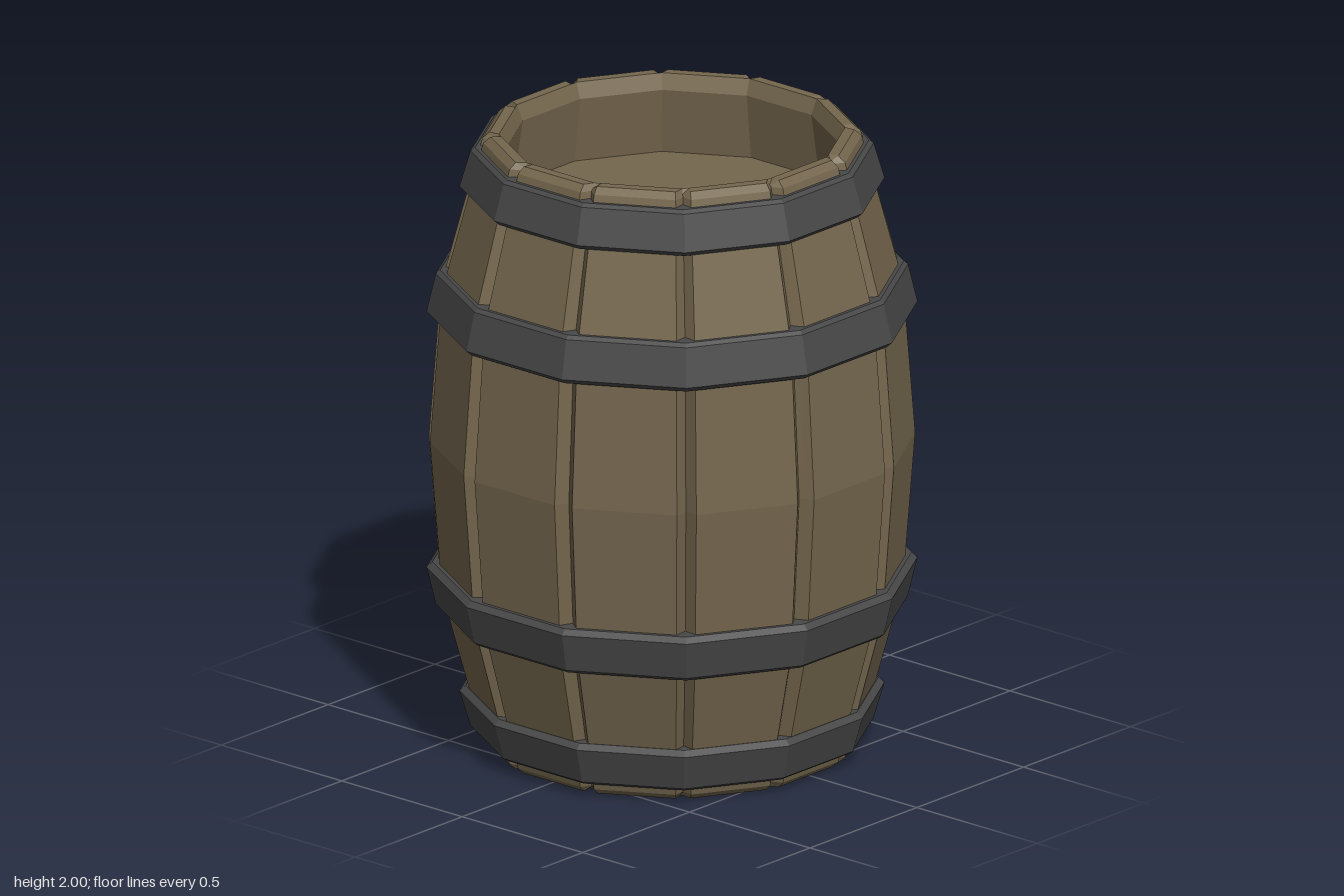
import * as THREE from 'three';

const SIDES = 12;
const STEP = (Math.PI * 2) / SIDES;
const CORNER = Math.cos(STEP / 2); // flat distance / corner distance

const wood = new THREE.MeshStandardMaterial({ color: 0x75674e });
wood.name = 'wood';
const iron = new THREE.MeshStandardMaterial({ color: 0x484848 });
iron.name = 'iron';

// Mesh with hard facets
function faceted(name, geometry, material) {
  const geo = geometry.index ? geometry.toNonIndexed() : geometry;
  geo.computeVertexNormals();
  const mesh = new THREE.Mesh(geo, material);
  mesh.name = name;
  return mesh;
}

// Wall of staves: each ring is [flat distance, height, groove inwards, groove along y]
function stavesGeometry() {
  const upper = [
    [0.737, 1.0, 0.045, 0],
    [0.7, 1.5, 0.042, 0],
    [0.575, 1.98, 0.036, 0],
    [0.553, 2.0, 0.022, 0.014],
    [0.52, 2.0, 0, 0],
    [0.501, 1.95, 0, 0],
    [0.53, 1.735, 0, 0],
  ];
  const lower = upper.slice(1).reverse().map(([r, y, g, d]) => [r, 2 - y, g, -d]);
  const rings = [...lower, ...upper];
  const positions = [];
  const indices = [];
  const perRing = SIDES * 3;
  for (const [r, y, groove, dip] of rings) {
    const half = r * Math.tan(STEP / 2) * 0.84;
    for (let s = 0; s < SIDES; s++) {
      const a = s * STEP;
      const sin = Math.sin(a), cos = Math.cos(a);
      // two edges of the flat stave face
      for (const t of [-half, half]) {
        positions.push(r * sin + t * cos, y, r * cos - t * sin);
      }
      // valley between this stave and the next
      const v = (r - groove) / CORNER;
      positions.push(v * Math.sin(a + STEP / 2), y - dip, v * Math.cos(a + STEP / 2));
    }
  }
  for (let i = 0; i < rings.length - 1; i++) {
    for (let j = 0; j < perRing; j++) {
      const k = (j + 1) % perRing;
      const a = i * perRing + j, b = i * perRing + k;
      const c = b + perRing, d = a + perRing;
      indices.push(a, b, c, a, c, d);
    }
  }
  const geo = new THREE.BufferGeometry();
  geo.setAttribute('position', new THREE.Float32BufferAttribute(positions, 3));
  geo.setIndex(indices);
  return geo;
}

// Twelve-sided hoop from a profile of [flat distance, height]
function hoop(name, profile) {
  const points = profile.map(([r, y]) => new THREE.Vector2(r / CORNER, y));
  return faceted(name, new THREE.LatheGeometry(points, SIDES, STEP / 2), iron);
}

// Recessed round end board
function endBoard(name, y, facing) {
  const geo = new THREE.CircleGeometry(0.532 / CORNER, SIDES, STEP / 2);
  geo.rotateX((-facing * Math.PI) / 2);
  geo.translate(0, y, 0);
  return faceted(name, geo, wood);
}

export function createModel() {
  const barrel = new THREE.Group();
  barrel.name = 'barrel';

  const body = new THREE.Group();
  body.name = 'body';
  body.position.z = 0.018;
  barrel.add(body);

  body.add(faceted('staves', stavesGeometry(), wood));
  body.add(endBoard('topBoard', 1.737, 1), endBoard('bottomBoard', 0.263, -1));

  // Hoops, mirrored above and below the middle
  const hoops = {
    bellyHoop: [[0.65, 1.405], [0.72, 1.405], [0.738, 1.422], [0.71, 1.545], [0.697, 1.556], [0.64, 1.556]],
    rimHoop: [[0.555, 1.815], [0.62, 1.815], [0.639, 1.832], [0.606, 1.947], [0.592, 1.957], [0.53, 1.957]],
  };
  for (const [name, profile] of Object.entries(hoops)) {
    body.add(hoop(name + 'Upper', profile));
    body.add(hoop(name + 'Lower', profile.map(([r, y]) => [r, 2 - y]).reverse()));
  }

  // Six-sided plug in the back, wider at its outer end
  const plug = new THREE.CylinderGeometry(0.115, 0.095, 0.1, 6);
  plug.rotateY(Math.PI / 2);
  plug.rotateX(-Math.PI / 2);
  plug.translate(-0.005, 1.0, -0.707);
  barrel.add(faceted('plug', plug, wood));

  return barrel;
}
